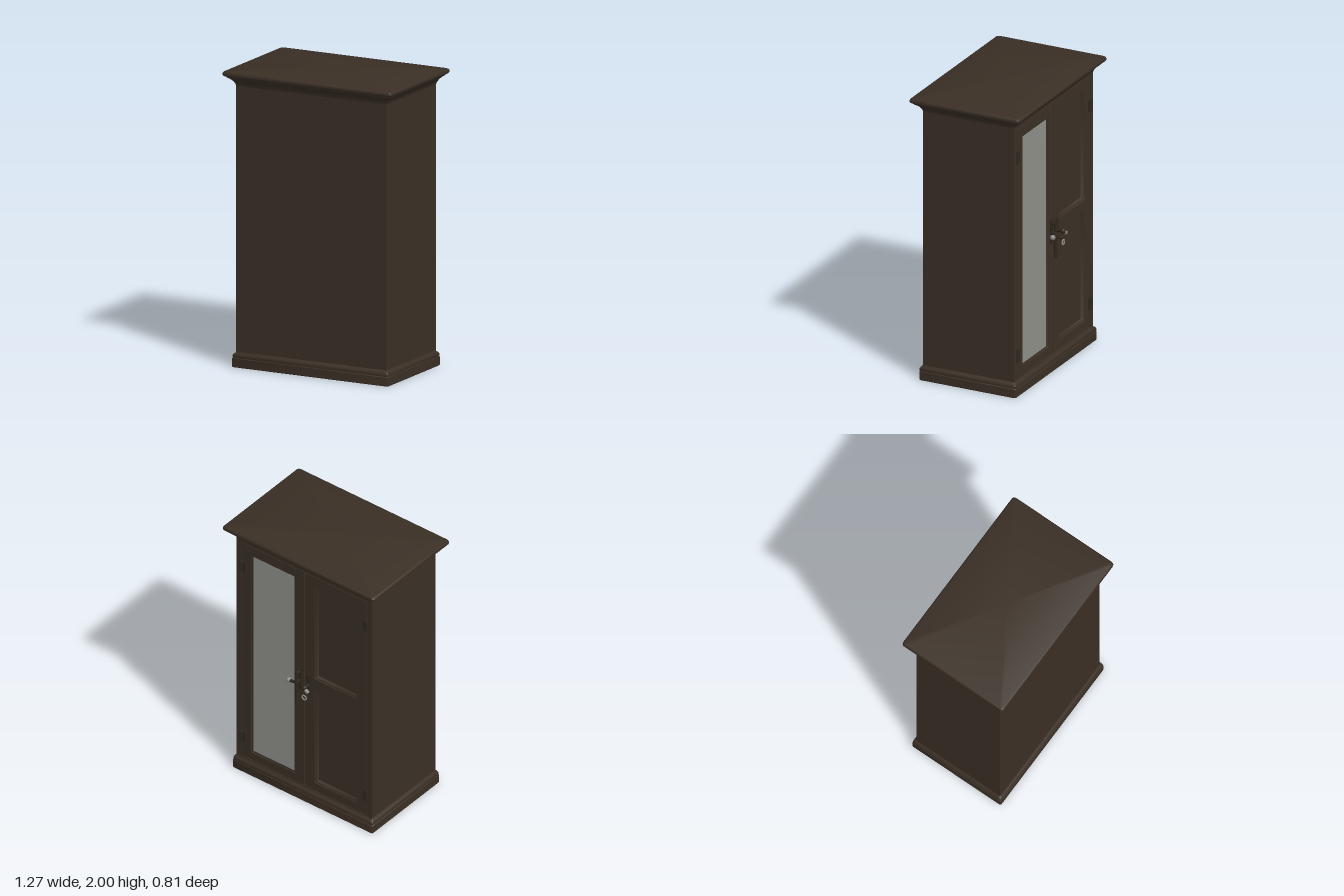
import * as THREE from 'three';
import { toCreasedNormals } from 'three/addons/utils/BufferGeometryUtils.js';

const wood = new THREE.MeshStandardMaterial({ color: 0x3a2f25 });
wood.name = 'dark wood';
const glass = new THREE.MeshStandardMaterial({ color: 0x90908a });
glass.name = 'mirror grey';
const iron = new THREE.MeshStandardMaterial({ color: 0x2e271e });
iron.name = 'dark iron';
const steel = new THREE.MeshStandardMaterial({ color: 0x8a8a84 });
steel.name = 'worn steel';

const HX = 0.565, HZ = 0.337; // half width and half depth of the carcass
const FACE = -0.336;          // plane of the doors

function add(parent, name, geo, mat, x = 0, y = 0, z = 0) {
  const m = new THREE.Mesh(geo, mat);
  m.name = name;
  m.position.set(x, y, z);
  parent.add(m);
  return m;
}

// Box given by its minimum and maximum corners
function slab(parent, name, mat, x0, x1, y0, y1, z0, z1) {
  return add(parent, name, new THREE.BoxGeometry(x1 - x0, y1 - y0, z1 - z0), mat,
    (x0 + x1) / 2, (y0 + y1) / 2, (z0 + z1) / 2);
}

// Points of a rounded rectangle in the xz plane
function roundedRing(hx, hz, r) {
  const pts = [];
  [[1, 1], [-1, 1], [-1, -1], [1, -1]].forEach(([sx, sz], c) => {
    for (let k = 0; k <= 4; k++) {
      const a = (c + k / 4) * Math.PI / 2;
      pts.push([sx * (hx - r) + r * Math.cos(a), sz * (hz - r) + r * Math.sin(a)]);
    }
  });
  return pts;
}

// Moulding: rectangles grown by an outset at each height of the profile
function moulding(hx, hz, profile, r, startCap = true) {
  const rings = profile.map(([o, y]) => roundedRing(hx + o, hz + o, r).map(([x, z]) => [x, y, z]));
  const n = rings[0].length, v = [];
  const last = rings.length - 1;
  for (let j = 0; j < n; j++) {
    const k = (j + 1) % n;
    for (let i = 0; i < last; i++) {
      const a = rings[i][j], b = rings[i][k], c = rings[i + 1][j], d = rings[i + 1][k];
      v.push(...a, ...c, ...b, ...b, ...c, ...d);
    }
    v.push(0, profile[last][1], 0, ...rings[last][k], ...rings[last][j]);
    if (startCap) v.push(0, profile[0][1], 0, ...rings[0][j], ...rings[0][k]);
  }
  const g = new THREE.BufferGeometry();
  g.setAttribute('position', new THREE.Float32BufferAttribute(v, 3));
  return toCreasedNormals(g, 0.6);
}

// Sunken panel with a stepped, sloping edge, facing the rear
function sunkenPanel(parent, name, [x0, x1, y0, y1]) {
  const g = moulding((x1 - x0) / 2, (y1 - y0) / 2,
    [[0, 0], [-0.004, -0.005], [-0.012, -0.006], [-0.022, -0.02]], 0.001, false);
  g.rotateX(-Math.PI / 2);
  add(parent, name, g, wood, (x0 + x1) / 2, (y0 + y1) / 2, FACE);
}

// Door leaf with openings cut through
function doorLeaf(parent, name, x0, x1, openings) {
  const rect = (P, a, b, c, d) => new P([[a, c], [b, c], [b, d], [a, d]].map(p => new THREE.Vector2(...p)));
  const s = rect(THREE.Shape, x0, x1, 0.115, 1.875);
  openings.forEach(o => s.holes.push(rect(THREE.Path, ...o)));
  add(parent, name, new THREE.ExtrudeGeometry(s, { depth: 0.03, bevelEnabled: false }), wood, 0, 0, FACE);
}

// Rod between two points
function rod(parent, name, mat, a, b, r0, r1 = r0) {
  const p = new THREE.Vector3(...a), q = new THREE.Vector3(...b);
  const d = q.clone().sub(p);
  const m = add(parent, name, new THREE.CylinderGeometry(r1, r0, d.length(), 12), mat);
  m.position.copy(p).add(q).multiplyScalar(0.5);
  m.quaternion.setFromUnitVectors(new THREE.Vector3(0, 1, 0), d.normalize());
}

function knob(parent, name, mat, x, y, z, r) {
  add(parent, name, new THREE.SphereGeometry(r, 14, 10), mat, x, y, z);
}

export function createModel() {
  const g = new THREE.Group();
  g.name = 'wardrobe';

  // Carcass and the face frame round the doors
  slab(g, 'carcass', wood, -HX, HX, 0.06, 1.92, -0.305, HZ);
  for (const s of [-1, 1])
    slab(g, 'faceStile', wood, s > 0 ? 0.526 : -HX, s > 0 ? HX : -0.526, 0.06, 1.92, -HZ, -0.3);
  slab(g, 'topRail', wood, -0.526, 0.526, 1.88, 1.92, -HZ, -0.3);
  slab(g, 'bottomRail', wood, -0.526, 0.526, 0.06, 0.11, -HZ, -0.3);

  // Plinth and cornice mouldings
  add(g, 'plinth', moulding(HX, HZ, [
    [0.018, 0], [0.021, 0.004], [0.021, 0.06], [0.017, 0.065], [0.019, 0.07],
    [0.019, 0.08], [0.014, 0.09], [0.004, 0.096], [0, 0.104]], 0.012), wood);
  add(g, 'cornice', moulding(HX, HZ, [
    [0, 1.9], [0.008, 1.906], [0.009, 1.914], [0.014, 1.922], [0.022, 1.934], [0.034, 1.947],
    [0.05, 1.957], [0.053, 1.966], [0.064, 1.969], [0.07, 1.977], [0.07, 1.989], [0.065, 1.997],
    [0.058, 2]], 0.02), wood);

  // Mirror door
  const mirrorDoor = new THREE.Group();
  mirrorDoor.name = 'mirrorDoor';
  g.add(mirrorDoor);
  const opening = [0.075, 0.447, 0.175, 1.81];
  doorLeaf(mirrorDoor, 'mirrorDoorLeaf', 0.004, 0.521, [opening]);
  sunkenPanel(mirrorDoor, 'mirrorFrame', opening);
  slab(mirrorDoor, 'mirror', glass, 0.089, 0.433, 0.189, 1.796, -0.328, -0.32);

  // Panelled door
  const panelDoor = new THREE.Group();
  panelDoor.name = 'panelDoor';
  g.add(panelDoor);
  const panels = [[-0.445, -0.085, 1.035, 1.81], [-0.445, -0.085, 0.175, 0.955]];
  doorLeaf(panelDoor, 'panelDoorLeaf', -0.521, -0.004, panels);
  panels.forEach((p, i) => sunkenPanel(panelDoor, i ? 'lowerPanel' : 'upperPanel', p));

  // Hinges
  for (const s of [-1, 1]) for (const y of [0.275, 1.68]) {
    rod(g, 'hingeBarrel', iron, [s * 0.524, y - 0.045, -0.342], [s * 0.524, y + 0.045, -0.342], 0.01);
    add(g, 'hingeLeaf', new THREE.BoxGeometry(0.04, 0.08, 0.006), iron, s * 0.512, y, -0.338);
  }

  // Mirror door handle: plate, lever and hanging latch bar
  const latch = new THREE.Group();
  latch.name = 'mirrorDoorHandle';
  g.add(latch);
  slab(latch, 'backPlate', iron, 0.022, 0.05, 0.9, 1.065, -0.346, -0.335);
  rod(latch, 'topPin', iron, [0.036, 1.045, -0.34], [0.036, 1.045, -0.375], 0.012);
  rod(latch, 'spindle', iron, [0.036, 0.975, -0.34], [0.036, 0.975, -0.385], 0.014);
  rod(latch, 'latchBar', iron, [0.036, 1.055, -0.37], [0.036, 0.805, -0.372], 0.01);
  rod(latch, 'lever', iron, [0.036, 0.975, -0.38], [0.085, 0.97, -0.38], 0.009, 0.011);
  knob(latch, 'leverTip', steel, 0.095, 0.97, -0.38, 0.018);

  // Panel door handle: plate, spindle and drooping lever
  const handle = new THREE.Group();
  handle.name = 'panelDoorHandle';
  g.add(handle);
  slab(handle, 'backPlate', iron, -0.052, -0.026, 0.9, 1.05, -0.346, -0.335);
  rod(handle, 'spindle', iron, [-0.04, 0.97, -0.34], [-0.04, 0.97, -0.385], 0.013);
  knob(handle, 'leverHub', iron, -0.04, 0.97, -0.385, 0.019);
  rod(handle, 'lever', steel, [-0.045, 0.965, -0.388], [-0.075, 0.945, -0.39], 0.011, 0.013);
  rod(handle, 'key', iron, [-0.04, 0.915, -0.34], [-0.04, 0.915, -0.38], 0.006);
  add(handle, 'keyBow', new THREE.TorusGeometry(0.017, 0.005, 8, 16), steel, -0.04, 0.89, -0.388);

  return g;
}
